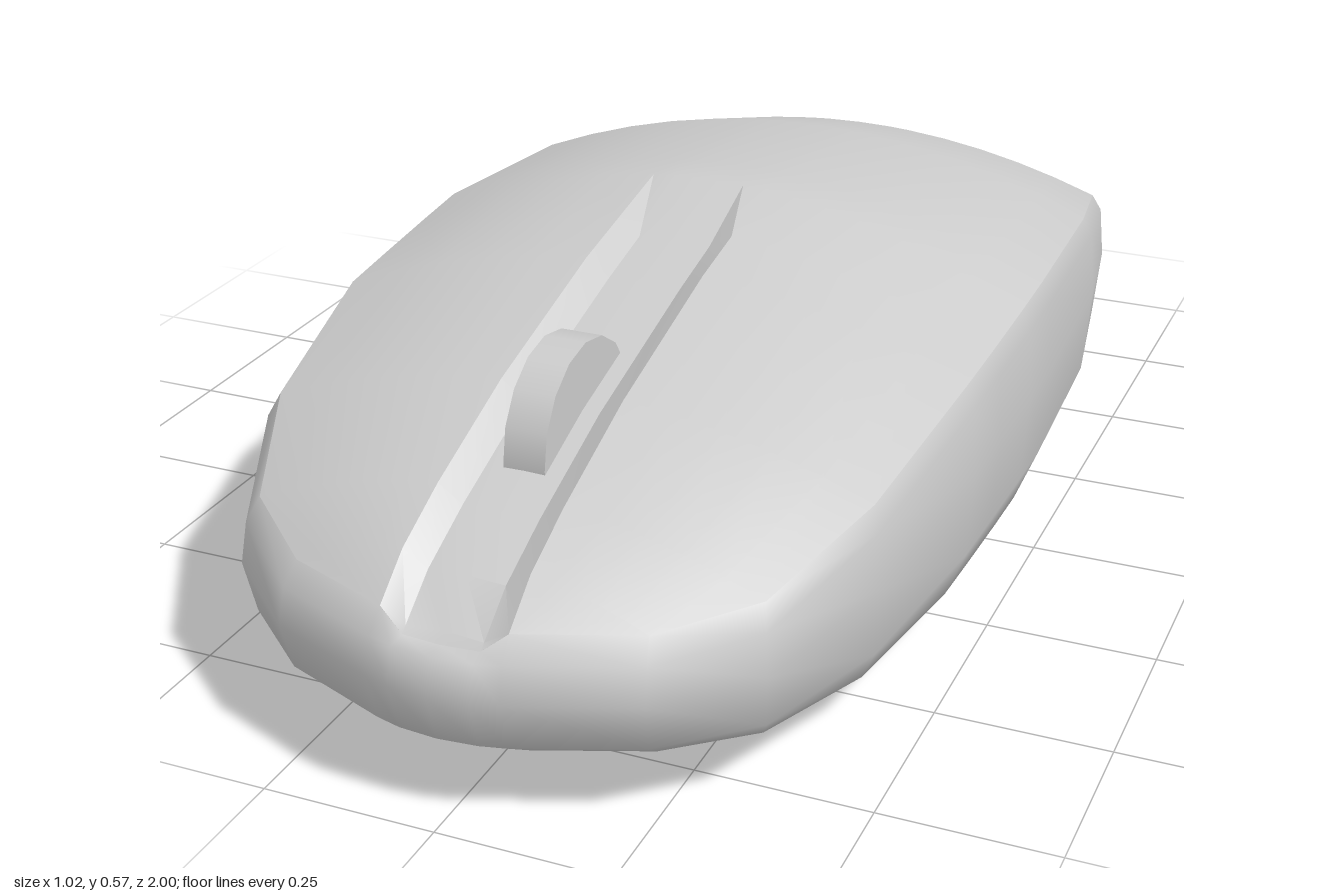
import * as THREE from 'three';
import { mergeVertices, toCreasedNormals } from 'three/addons/utils/BufferGeometryUtils.js';

// piecewise linear lookup in [z, value] pairs sorted by falling z
function lookup(table, z) {
  if (z >= table[0][0]) return table[0][1];
  for (let i = 1; i < table.length; i++) {
    const [z0, v0] = table[i - 1], [z1, v1] = table[i];
    if (z >= z1) return v0 + (v1 - v0) * (z0 - z) / (z0 - z1);
  }
  return table[table.length - 1][1];
}

// plan outline, right half, front to back: [half width, z]
const OUTLINE = [
  [0, 1], [0.057, 0.995], [0.094, 0.985], [0.26, 0.92], [0.38, 0.82], [0.46, 0.63],
  [0.5, 0.35], [0.504, 0.24], [0.508, 0.104], [0.51, 0], [0.49, -0.33], [0.44, -0.6],
  [0.36, -0.78], [0.25, -0.9], [0.12, -0.98], [0, -1],
];
const DECK = 0.96; // deck edge relative to the outline
const CREST = [[0.96, 0.28], [0.9, 0.33], [0.7, 0.42], [0.4, 0.51], [0.1, 0.57], [-0.3, 0.53],
  [-0.6, 0.44], [-0.83, 0.34], [-0.96, 0.25]];
const EDGE = [[0.96, 0.28], [0.88, 0.279], [0.79, 0.3], [0.61, 0.36], [0.34, 0.42], [0, 0.443],
  [-0.3, 0.43], [-0.6, 0.365], [-0.8, 0.3], [-0.96, 0.25]];
const GROOVE = [[0.28, 0.028], [0.2, 0.022], [0.1, 0]];
const FLOOR_X = 0.055, LIP_X = 0.09;

// height of the upper shell, with the wheel channel cut in
function deckY(x, z, half) {
  const u = half > 0 ? x / half : 0;
  const edge = lookup(EDGE, z);
  const y = edge + (lookup(CREST, z) - edge) * (1 - u * u);
  return Math.abs(x) <= FLOOR_X + 1e-3 ? y - lookup(GROOVE, z) : y;
}

// surface through rows of points
function skin(rows) {
  const n = rows[0].length, index = [];
  for (let i = 0; i < rows.length - 1; i++) {
    for (let j = 0; j < n - 1; j++) {
      const a = i * n + j, c = a + n;
      index.push(a, a + 1, c, a + 1, c + 1, c);
    }
  }
  const g = new THREE.BufferGeometry();
  g.setAttribute('position', new THREE.Float32BufferAttribute(rows.flat(2), 3));
  g.setIndex(index);
  const merged = mergeVertices(g, 1e-5);
  merged.computeVertexNormals();
  return merged;
}

// lower shell: outline rings from the belly up to the deck edge
function lowerShellGeometry() {
  const left = OUTLINE.slice(0, -1).reverse().map(([x, z]) => [-x, z]);
  const ring = [...OUTLINE, ...left];
  const levels = [
    [0, () => 0], [0.25, () => 0.003], [0.52, () => 0.012], [0.77, () => 0.035],
    [0.91, () => 0.08], [0.98, (t) => 0.12 + 0.05 * t], [1, (t) => 0.18 + 0.13 * t],
    [0.987, (t, edge) => edge - 0.03],
    [DECK, (t, edge, x, z) => deckY(x, z, Math.abs(x))],
  ];
  return skin(levels.map(([s, height]) => ring.map(([x, z]) => {
    const edge = lookup(EDGE, z * DECK);
    const t = Math.max(0, (edge - 0.25) / 0.2);
    return [x * s, height(t, edge, x * DECK, z * DECK), z * s];
  })));
}

// upper shell: rows across the width, with columns along the channel edges
function upperShellGeometry() {
  return skin(OUTLINE.map(([w, zo]) => {
    const half = w * DECK, z = zo * DECK;
    const lip = Math.min(LIP_X, half);
    const xs = [Math.min(FLOOR_X, half)];
    for (let k = 0; k <= 5; k++) xs.push(lip + (half - lip) * k / 5);
    const all = [...xs.map((x) => -x).reverse(), 0, ...xs];
    return all.map((x) => [x, deckY(x, z, half), z]);
  }));
}

export function createModel() {
  const model = new THREE.Group();
  model.name = 'computerMouse';
  const add = (name, geometry) => {
    const mesh = new THREE.Mesh(geometry, new THREE.MeshStandardMaterial({ color: 0xcccccc }));
    mesh.name = name;
    model.add(mesh);
    return mesh;
  };

  add('lowerShell', lowerShellGeometry());
  add('upperShell', toCreasedNormals(upperShellGeometry(), 0.5));

  // scroll wheel standing in the channel
  const wheel = new THREE.CylinderGeometry(0.13, 0.13, 0.06, 16);
  wheel.rotateZ(Math.PI / 2);
  add('scrollWheel', wheel).position.set(0, 0.382, 0.59);

  return model;
}
